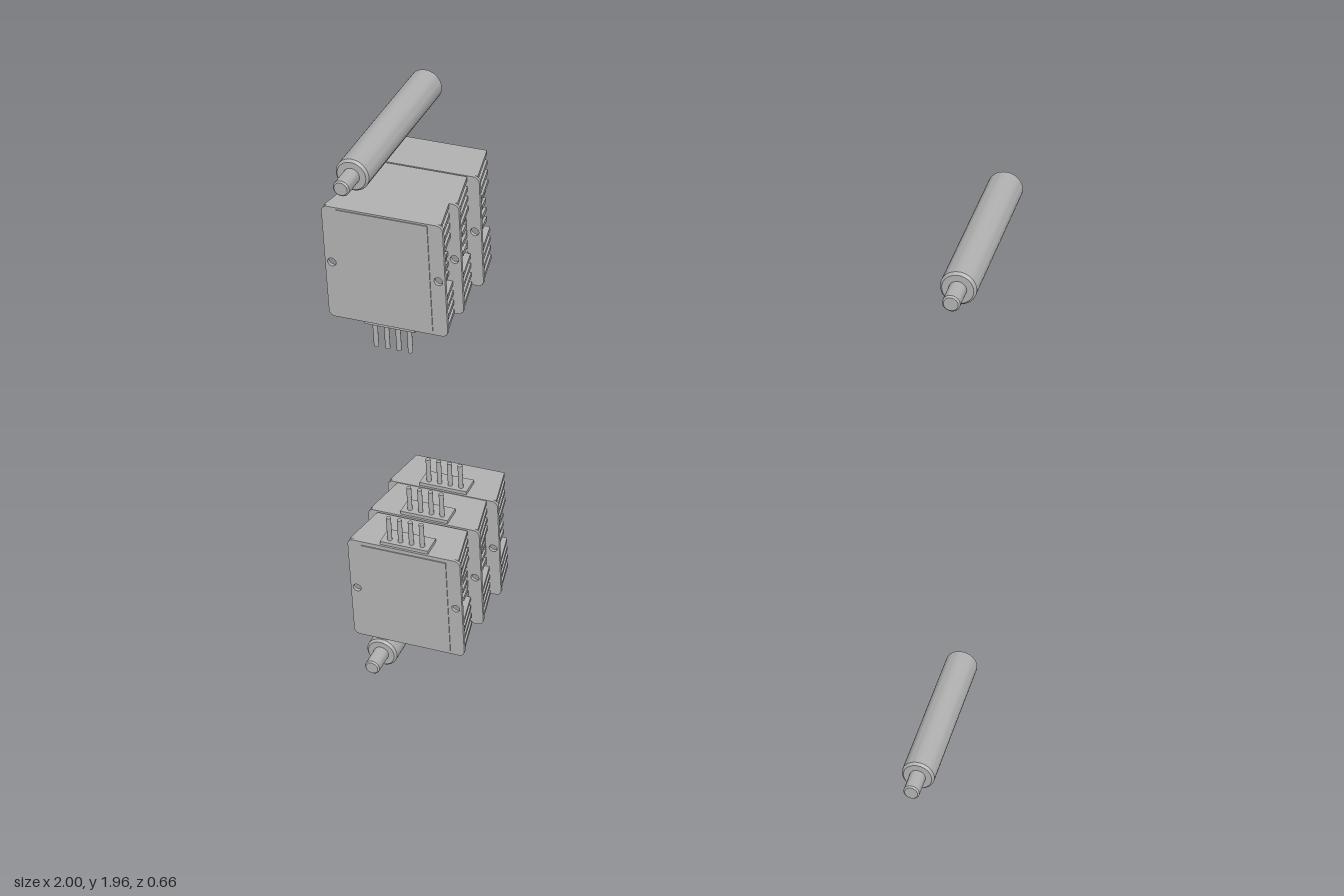
import * as THREE from 'three';
import { toCreasedNormals } from 'three/addons/utils/BufferGeometryUtils.js';

const H = 0.392; // height of one module

export function createModel() {
  const grey = new THREE.MeshStandardMaterial({ color: 0xb0b0b0 });
  grey.name = 'metal grey';

  function add(parent, name, geo, x = 0, y = 0, z = 0) {
    const m = new THREE.Mesh(geo, grey);
    m.name = name;
    m.position.set(x, y, z);
    parent.add(m);
    return m;
  }

  // horizontal slab tapering from half-width a at z0 to b at z1 (z1 behind z0), centred in y
  function slab(a, b, z0, z1, h) {
    const s = new THREE.Shape([[-a, -z0], [a, -z0], [b, -z1], [-b, -z1]].map(p => new THREE.Vector2(...p)));
    const g = new THREE.ExtrudeGeometry(s, { depth: h, bevelEnabled: false });
    g.translate(0, 0, -h / 2);
    g.rotateX(-Math.PI / 2);
    return g;
  }

  // mounting plate with rounded corners and two screw holes
  function plateGeometry() {
    const w = 0.195, h = H / 2, r = 0.02;
    const s = new THREE.Shape();
    s.moveTo(-w + r, -h);
    s.lineTo(w - r, -h);
    s.absarc(w - r, -h + r, r, -Math.PI / 2, 0);
    s.absarc(w - r, h - r, r, 0, Math.PI / 2);
    s.absarc(-w + r, h - r, r, Math.PI / 2, Math.PI);
    s.absarc(-w + r, -h + r, r, Math.PI, Math.PI * 1.5);
    for (const x of [-0.173, 0.173]) {
      s.holes.push(new THREE.Path().absarc(x, 0, 0.014, 0, Math.PI * 2, true));
    }
    return new THREE.ExtrudeGeometry(s, { depth: 0.012, bevelEnabled: false, curveSegments: 8 });
  }

  const plate = plateGeometry();
  const core = slab(0.155, 0.145, -0.01, -0.122, H - 0.004);
  const fin = slab(0.188, 0.158, -0.012, -0.165, 0.014);
  const shortFin = slab(0.155, 0.148, -0.115, -0.165, 0.014);
  const cover = new THREE.BoxGeometry(0.294, H - 0.02, 0.006);
  const boss = new THREE.CylinderGeometry(0.014, 0.014, 0.05, 16).rotateX(Math.PI / 2);
  const pin = new THREE.CylinderGeometry(0.008, 0.008, 0.1, 12);
  const terminal = new THREE.BoxGeometry(0.166, 0.02, 0.07);

  // finned module, front at z = 0, pins pointing up
  function createModule() {
    const g = new THREE.Group();
    g.name = 'finnedModule';
    add(g, 'mountingPlate', plate, 0, 0, -0.015);
    add(g, 'frontCover', cover, 0, -0.004, -0.003);
    add(g, 'core', core);
    const n = 12;
    for (let i = 0; i < n; i++) {
      const y = -H / 2 + 0.007 + i * (H - 0.014) / (n - 1);
      // the middle fins are cut away beside the screw holes
      add(g, 'coolingFin', Math.abs(y) < 0.06 ? shortFin : fin, 0, y, 0);
    }
    for (const x of [-0.1, 0.1]) for (const y of [-0.137, 0.137]) add(g, 'screwBoss', boss, x, y, -0.139);
    add(g, 'terminalBase', terminal, 0, H / 2 + 0.002, -0.045);
    for (let i = 0; i < 4; i++) add(g, 'pin', pin, (i - 1.5) * 0.0377, H / 2 + 0.05, -0.03);
    return g;
  }

  const model = new THREE.Group();
  model.name = 'rodsAndModules';

  // two stacks of three modules, the upper one upside down
  const stacks = [
    { name: 'lowerStack', y: 0.333, turn: 0, fronts: [0.25, 0.08, -0.085] },
    { name: 'upperStack', y: 1.591, turn: Math.PI, fronts: [0.25, 0.12, -0.047] },
  ];
  for (const { name, y, turn, fronts } of stacks) {
    const stack = new THREE.Group();
    stack.name = name;
    stack.position.set(-0.804, y, 0);
    stack.rotation.z = turn;
    for (const z of fronts) {
      const m = createModule();
      m.position.z = z;
      stack.add(m);
    }
    model.add(stack);
  }

  // cylindrical rods with a thinner stub at the front
  const profile = [[0, -0.33], [0.053, -0.33], [0.053, 0.242], [0.046, 0.25], [0.026, 0.25],
    [0.026, 0.325], [0.021, 0.33], [0, 0.33]].map(p => new THREE.Vector2(...p));
  const rod = toCreasedNormals(new THREE.LatheGeometry(profile, 32).rotateX(Math.PI / 2), 0.5);
  for (const [x, y] of [[-0.89, 1.91], [0.946, 1.89], [-0.906, 0.075], [0.925, 0.054]]) {
    add(model, 'rod', rod, x, y, 0);
  }
  return model;
}
